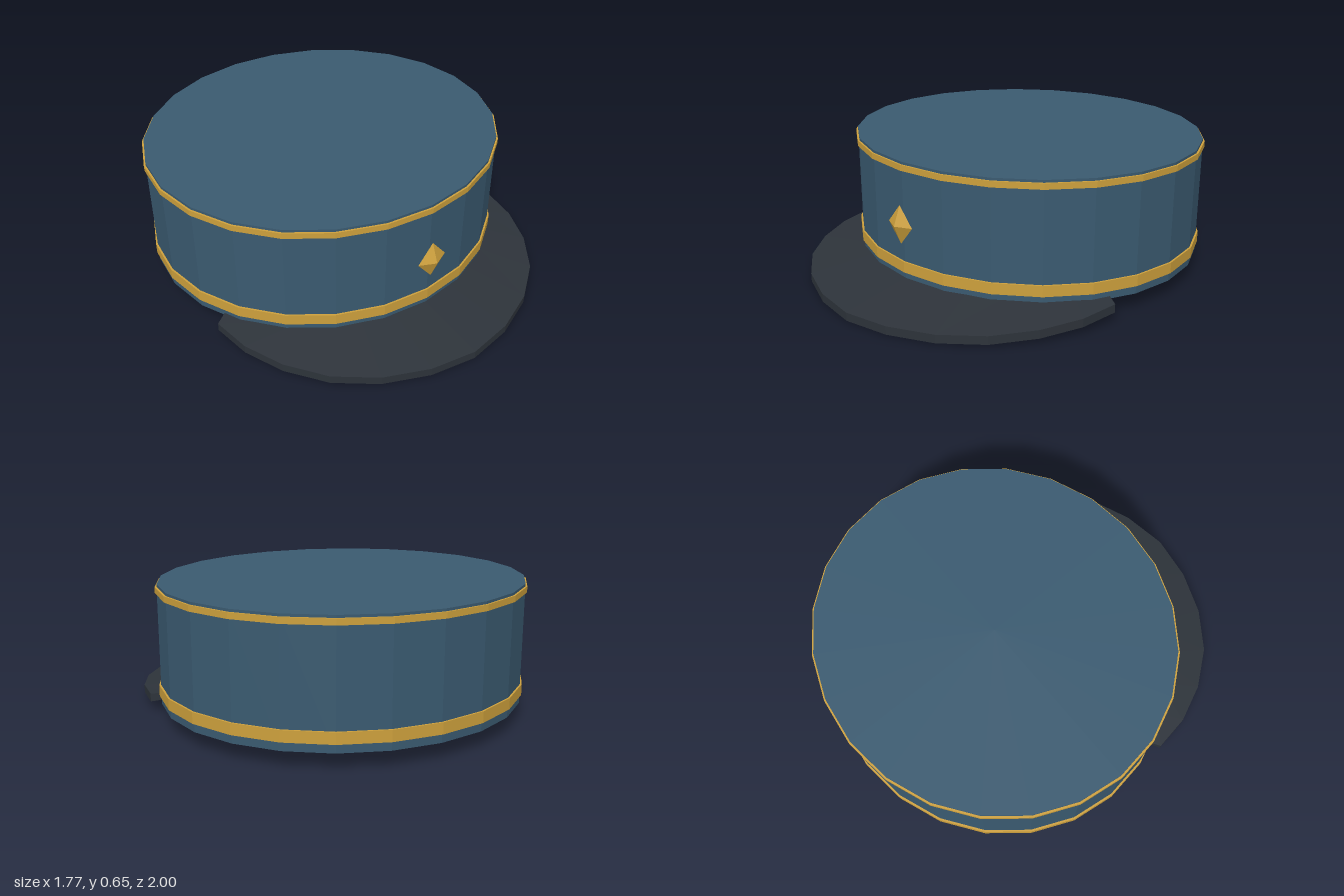
import * as THREE from 'three';

const CENTER_Z = -0.166; // centre of the crown
const DEPTH = 0.9375; // crown is slightly narrower front to back
const SIDES = 24;

function makeMaterial(name, color, side = THREE.FrontSide) {
  const material = new THREE.MeshStandardMaterial({ color, side, flatShading: true });
  material.name = name;
  return material;
}

function addMesh(group, name, geometry, material) {
  const mesh = new THREE.Mesh(geometry, material);
  mesh.name = name;
  group.add(mesh);
  return mesh;
}

// Faceted oval turned from a profile of [radius, y] points
function oval(profile) {
  const points = profile.map(([r, y]) => new THREE.Vector2(r, y));
  return new THREE.LatheGeometry(points, SIDES).scale(1, 1, DEPTH).translate(0, 0, CENTER_Z);
}

// Trim ring that stands slightly proud of the wall on both sides
function band(y0, y1) {
  const inner = 0.866, outer = 0.887;
  return oval([[inner, y0], [outer, y0], [outer, y1], [inner, y1], [inner, y0]]);
}

// Sloping crescent built from four-cornered cross-sections
function visorGeometry() {
  const half = [[0, 0.999], [0.225, 0.963], [0.437, 0.876], [0.615, 0.744],
    [0.745, 0.573], [0.825, 0.388], [0.853, 0.204]];
  const positions = [];
  const indices = [];
  for (let i = -6; i <= 6; i++) {
    const [x, oz] = half[Math.abs(i)];
    const ox = Math.sign(i) * x;
    const angle = THREE.MathUtils.degToRad(i * 11);
    const ix = 0.87 * Math.sin(angle);
    const iz = CENTER_Z + 0.87 * DEPTH * Math.cos(angle);
    const drop = 0.046 * (oz - 0.204) / 0.795;
    positions.push(
      ix, 0.093, iz, // inner top
      ox, 0.087 - drop, oz, // outer top
      ox, 0.047 - drop, oz, // outer bottom
      ix, 0.06, iz, // inner bottom
    );
  }
  for (let i = 0; i < 12; i++) {
    for (let k = 0; k < 4; k++) {
      const a = i * 4 + k;
      const b = i * 4 + (k + 1) % 4;
      indices.push(a, b, a + 4, b, b + 4, a + 4);
    }
  }
  indices.push(0, 2, 1, 0, 3, 2, 48, 49, 50, 48, 50, 51); // end caps
  const geometry = new THREE.BufferGeometry();
  geometry.setAttribute('position', new THREE.Float32BufferAttribute(positions, 3));
  geometry.setIndex(indices);
  geometry.computeVertexNormals();
  return geometry;
}

export function createModel() {
  const cap = new THREE.Group();
  cap.name = 'cap';

  const cloth = makeMaterial('blue cloth', 0x3a5a70, THREE.DoubleSide);
  const gold = makeMaterial('gold trim', 0xcda03c);
  const leather = makeMaterial('dark leather', 0x2d333a);

  // Crown: thin wall with a flat top, open underneath
  addMesh(cap, 'crown', oval([[0.878, 0.081], [0.878, 0.65], [0, 0.65]]), cloth);

  // Gold bands
  addMesh(cap, 'lowerBand', band(0.121, 0.174), gold);
  addMesh(cap, 'upperBand', band(0.61, 0.638), gold);

  // Visor
  addMesh(cap, 'visor', visorGeometry(), leather);

  // Diamond badge: flat-backed pyramid pointing forward
  const badge = addMesh(cap, 'badge',
    new THREE.ConeGeometry(1, 1, 4).rotateX(Math.PI / 2).scale(0.079, 0.093, 0.037), gold);
  badge.position.set(0, 0.36, 0.695);

  return cap;
}
